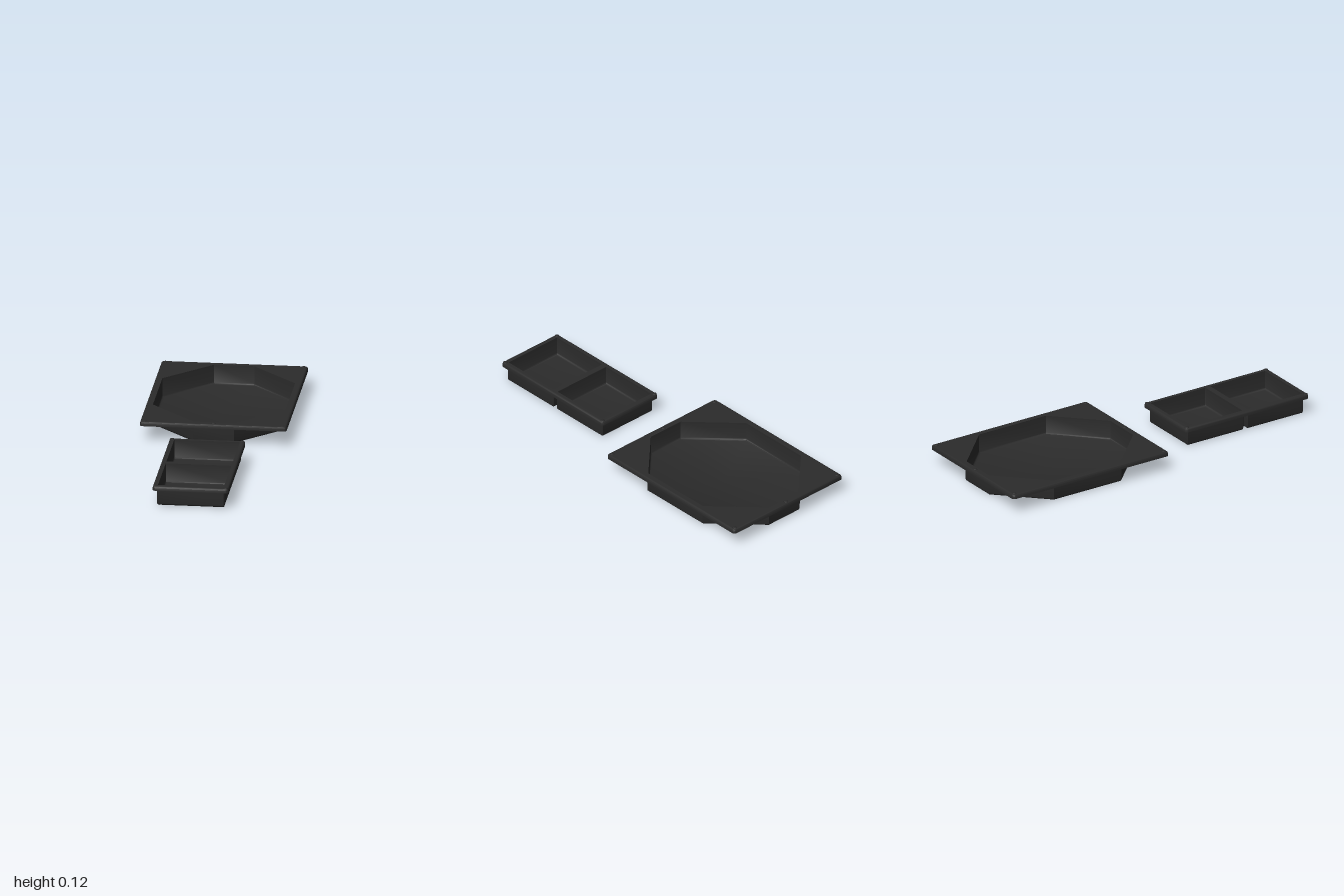
import * as THREE from 'three';
import { toCreasedNormals } from 'three/addons/utils/BufferGeometryUtils.js';

const plastic = new THREE.MeshStandardMaterial({ color: 0x2b2b2b });
plastic.name = 'charcoal plastic';

const TOP = 0.112;   // top face of the rims
const WALL = 0.005;  // sheet thickness

// Plan outlines run counter-clockwise seen from above, as (x, -z).
function cutRect(hx, hz, cut) {
  const x = hx - cut, z = hz - cut;
  return [[x, -hz], [hx, -z], [hx, z], [x, hz], [-x, hz], [-hx, z], [-hx, -z], [-x, -hz]]
    .map(([a, b]) => new THREE.Vector2(a, b));
}

function roundRect(hx, hz, r) {
  const pts = [];
  [[1, -1], [1, 1], [-1, 1], [-1, -1]].forEach(([sx, sz], q) => {
    for (let i = 0; i <= 4; i++) {
      const a = (q - 1 + i / 4) * Math.PI / 2;
      pts.push(new THREE.Vector2(sx * (hx - r) + r * Math.cos(a), sz * (hz - r) + r * Math.sin(a)));
    }
  });
  return pts;
}

// Move every edge of a convex outline inwards by d
function inset(pts, d) {
  const n = pts.length;
  const normal = (a, b) => {
    const e = b.clone().sub(a).normalize();
    return new THREE.Vector2(-e.y, e.x);
  };
  return pts.map((p, i) => {
    const n1 = normal(pts[(i + n - 1) % n], p), n2 = normal(p, pts[(i + 1) % n]);
    return p.clone().addScaledVector(n1.clone().add(n2), d / (1 + n1.dot(n2)));
  });
}

// Sweep a profile of [inset, height] around an outline; inset null is the centre
function loft(outline, profile) {
  const rings = profile.map(([d, y]) =>
    (d === null ? outline.map(() => new THREE.Vector2()) : inset(outline, d))
      .map((p) => new THREE.Vector3(p.x, y, -p.y)));
  const pos = [];
  const tri = (...corners) => corners.forEach((c) => pos.push(c.x, c.y, c.z));
  for (let j = 0; j < rings.length - 1; j++) {
    for (let i = 0; i < outline.length; i++) {
      const k = (i + 1) % outline.length;
      const a = rings[j][i], b = rings[j][k], c = rings[j + 1][k], d = rings[j + 1][i];
      if (profile[j + 1][0] !== null) tri(a, d, c);
      if (profile[j][0] !== null) tri(a, c, b);
    }
  }
  const g = new THREE.BufferGeometry();
  g.setAttribute('position', new THREE.Float32BufferAttribute(pos, 3));
  return toCreasedNormals(g, 0.7);
}

function add(group, name, geometry, x = 0, y = 0, z = 0) {
  const mesh = new THREE.Mesh(geometry, plastic);
  mesh.name = name;
  mesh.position.set(x, y, z);
  group.add(mesh);
}

function makeTray(name, hx, hz, wellOutline, wellOffsets, studs) {
  const tray = new THREE.Group();
  tray.name = name;
  const outline = roundRect(hx, hz, 0.016);

  // rounded rim edge with a turned-down lip
  add(tray, 'rimEdge', loft(outline, [
    [0.011, TOP], [0.006, TOP - 0.001], [0.002, TOP - 0.004], [0, TOP - 0.01],
    [0, 0.088], [WALL, 0.088], [WALL, TOP - 0.008], [0.011, TOP - 0.006],
  ]));

  // flat rim plate, open over each well
  const shape = new THREE.Shape(inset(outline, 0.011));
  for (const z of wellOffsets) {
    shape.holes.push(new THREE.Path(
      inset(wellOutline, WALL).map((p) => new THREE.Vector2(p.x, p.y - z)).reverse()));
  }
  const plate = new THREE.ExtrudeGeometry(shape, { depth: 0.006, bevelEnabled: false });
  add(tray, 'rimPlate', plate.rotateX(-Math.PI / 2), 0, TOP - 0.006);

  // wells: floor, inner wall, outer wall and rounded underside
  const well = loft(wellOutline, [
    [null, 0.006], [0.014, 0.006], [0.008, 0.009], [WALL, 0.015], [WALL, TOP - 0.001],
    [0, TOP - 0.001], [0, 0.012], [0.002, 0.006], [0.006, 0.002], [0.012, 0], [null, 0],
  ]);
  for (const z of wellOffsets) add(tray, 'well', well, 0, 0, z);

  // low domed studs on the rim
  const dome = new THREE.SphereGeometry(0.012, 12, 4, 0, Math.PI * 2, 0, Math.PI / 2).scale(1, 0.3, 1);
  for (const [x, z] of studs) add(tray, 'rimStud', dome, x, TOP, z);
  return tray;
}

export function createModel() {
  const model = new THREE.Group();
  model.name = 'trays';

  // large tray with an eight-sided well
  const large = makeTray('largeTray', 0.387, 0.493, cutRect(0.355, 0.46, 0.247), [0],
    [-1, 0, 1].flatMap((sx) => [[sx * 0.365, -0.473], [sx * 0.365, 0.473]]));
  large.position.z = -0.507;

  // small tray with two square wells
  const small = makeTray('smallTray', 0.2, 0.39, cutRect(0.178, 0.178, 0.004), [-0.189, 0.189],
    [-1, 1].flatMap((sx) => [[sx * 0.185, -0.375], [sx * 0.185, 0.375]]));
  small.position.z = 0.61;

  model.add(large, small);
  return model;
}
